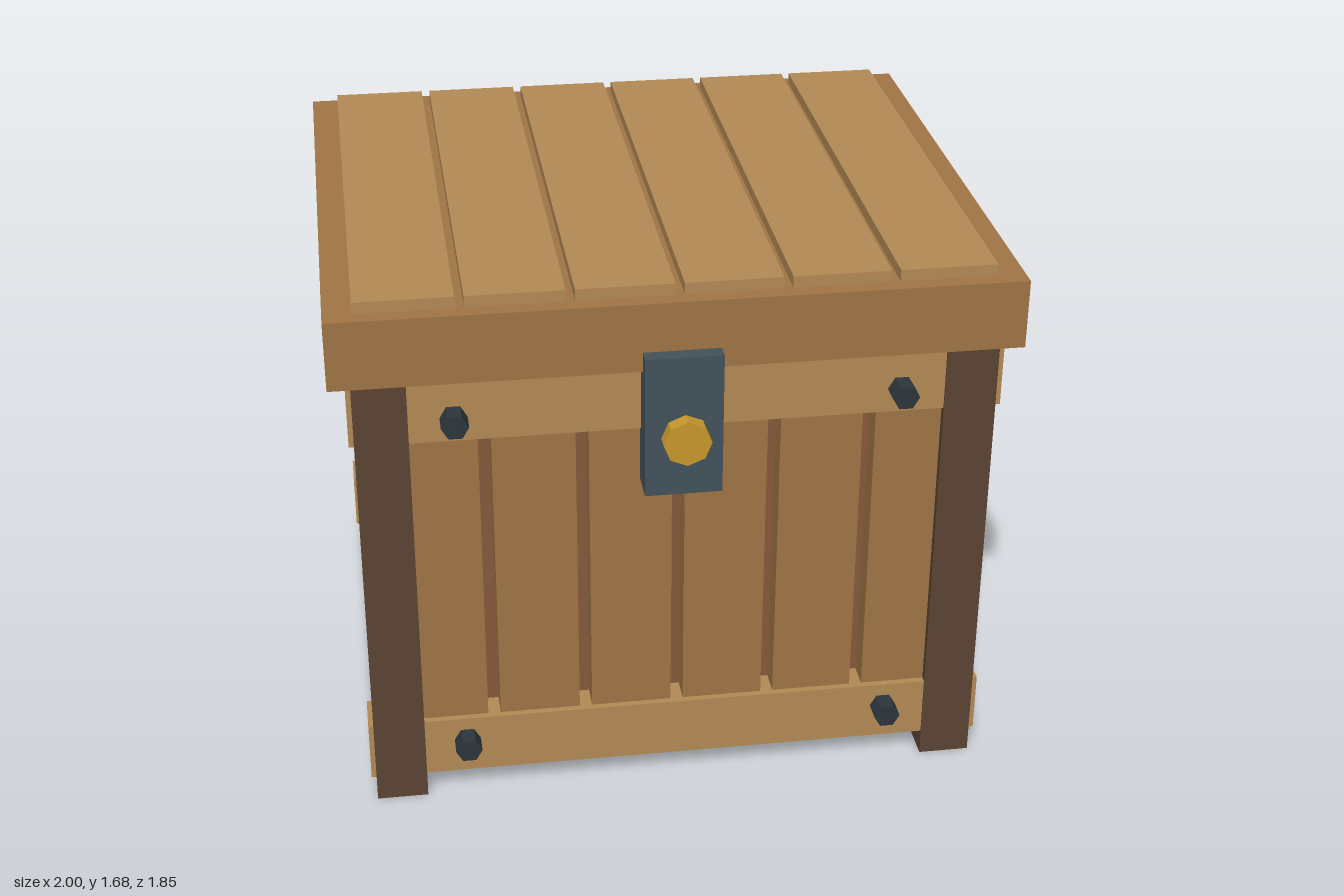
import * as THREE from 'three';

const material = (color) => new THREE.MeshStandardMaterial({ color, flatShading: true });

export function createModel() {
  const model = new THREE.Group();
  const mats = {
    dark: material(0x5c4433),
    core: material(0x875a3a),
    wood: material(0xa07545),
    light: material(0xb48a55),
    plate: material(0x44525a),
    bolt: material(0x2c363c),
    gold: material(0xc8982c),
  };

  // Box given by its min and max extents
  const box = (name, mat, [x0, x1], [y0, y1], [z0, z1]) => {
    const mesh = new THREE.Mesh(new THREE.BoxGeometry(x1 - x0, y1 - y0, z1 - z0), mats[mat]);
    mesh.position.set((x0 + x1) / 2, (y0 + y1) / 2, (z0 + z1) / 2);
    mesh.name = name;
    model.add(mesh);
  };

  // Faceted disc facing the front
  const disc = (name, mat, radius, sides, spin, x, y, z0, z1) => {
    const geometry = new THREE.CylinderGeometry(radius, radius, z1 - z0, sides);
    geometry.rotateY(spin).rotateX(Math.PI / 2);
    const mesh = new THREE.Mesh(geometry, mats[mat]);
    mesh.position.set(x, y, (z0 + z1) / 2);
    mesh.name = name;
    model.add(mesh);
  };

  // Inner body, recessed between the side walls
  box('body', 'core', [-0.8, 0.8], [0.02, 1.44], [-0.785, 0.675]);

  // Side walls
  box('leftWall', 'dark', [0.78, 0.935], [0, 1.44], [-0.89, 0.78]);
  box('rightWall', 'dark', [-0.935, -0.78], [0, 1.44], [-0.89, 0.78]);

  // Rails through the walls, front and back
  for (const [y0, y1] of [[0.08, 0.27], [1.24, 1.43]]) {
    box('frontRail', 'light', [-0.95, 0.95], [y0, y1], [0.64, 0.775]);
    box('backRail', 'light', [-0.95, 0.95], [y0, y1], [-0.885, -0.75]);
  }

  // Upright front planks and lid slats
  for (let i = 0; i < 6; i++) {
    const px = (i - 2.5) * 0.282;
    box('frontPlank', 'wood', [px - 0.122, px + 0.122], [0.1, 1.42], [0.66, 0.755]);
    const sx = (i - 2.5) * 0.31;
    box('lidSlat', 'light', [sx - 0.142, sx + 0.142], [1.64, 1.685], [-0.88, 0.76]);
  }

  // Lid
  box('lid', 'wood', [-1, 1], [1.44, 1.65], [-0.925, 0.81]);

  // Hexagonal bolts on the front rails
  for (const x of [-0.65, 0.65]) {
    for (const y of [0.195, 1.315]) disc('bolt', 'bolt', 0.04, 6, Math.PI / 6, x, y, 0.76, 0.84);
  }

  // Latch plate and knob
  box('latchPlate', 'plate', [-0.113, 0.113], [1.06, 1.5], [0.75, 0.857]);
  disc('latchKnob', 'gold', 0.07, 8, 0, 0, 1.26, 0.88, 0.925);

  return model;
}
